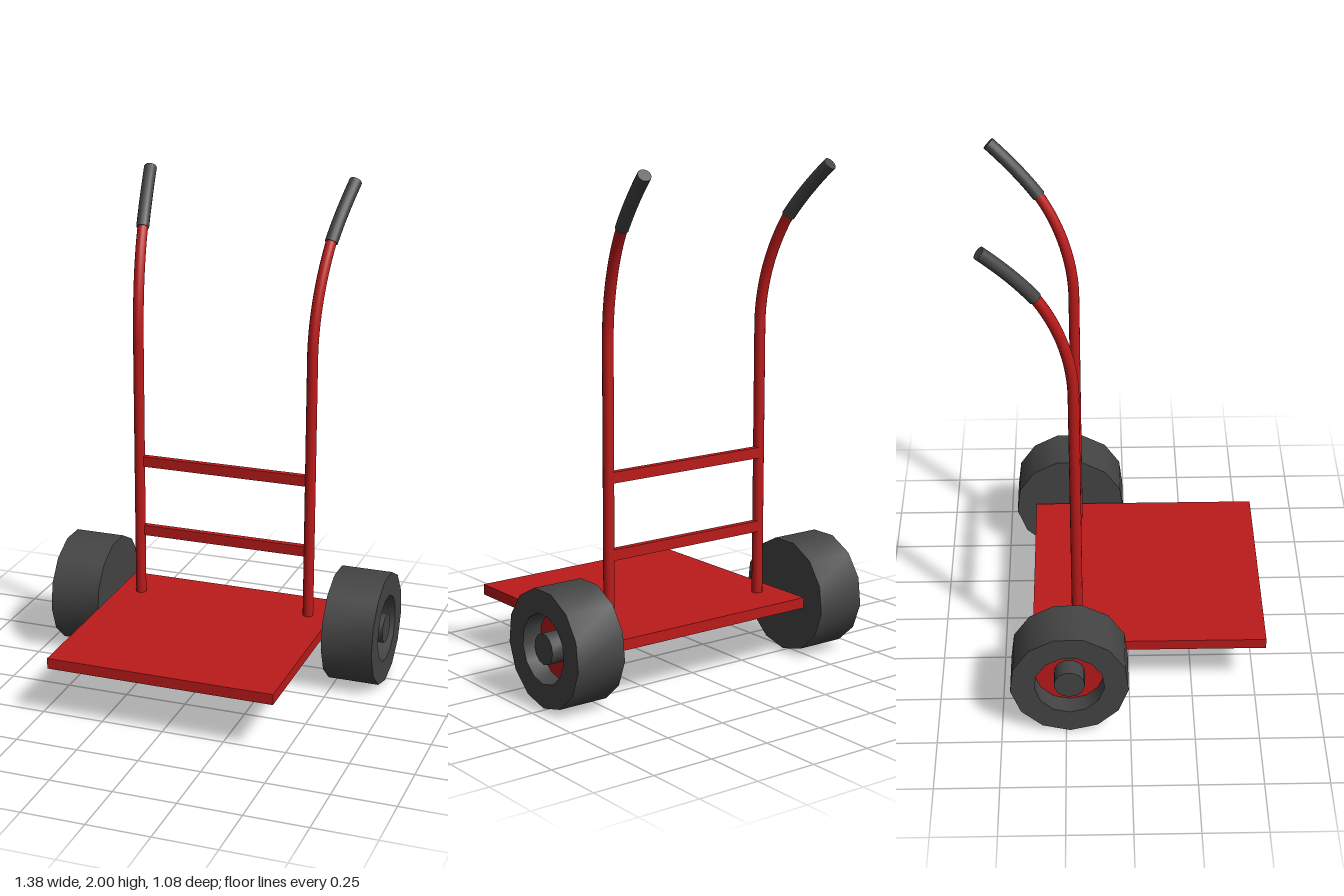
import * as THREE from 'three';
import { toCreasedNormals } from 'three/addons/utils/BufferGeometryUtils.js';

const red = new THREE.MeshStandardMaterial({ color: 0xbb1a1a });
const dark = new THREE.MeshStandardMaterial({ color: 0x444444 });

function add(parent, name, geometry, material, x = 0, y = 0, z = 0) {
  const mesh = new THREE.Mesh(geometry, material);
  mesh.name = name;
  mesh.position.set(x, y, z);
  parent.add(mesh);
  return mesh;
}

// Round bar along a curve, with a flat cap at each end
function addBar(parent, name, curve, segments, radius, material) {
  const bar = new THREE.Group();
  bar.name = name;
  parent.add(bar);
  add(bar, name + 'Tube', new THREE.TubeGeometry(curve, segments, radius, 14), material);
  for (const t of [0, 1]) {
    const p = curve.getPointAt(t);
    const out = curve.getTangentAt(t).multiplyScalar(t ? 1 : -1);
    const cap = add(bar, name + 'Cap', new THREE.CircleGeometry(radius, 14), material, p.x, p.y, p.z);
    cap.quaternion.setFromUnitVectors(new THREE.Vector3(0, 0, 1), out);
  }
}

// Thirteen-sided turned part with crisp edges, axis along +x, one corner pointing down
function turned(points) {
  const geometry = new THREE.LatheGeometry(points.map(([r, h]) => new THREE.Vector2(r, h)), 13);
  geometry.applyMatrix4(new THREE.Matrix4().makeBasis(
    new THREE.Vector3(0, 0, -1), new THREE.Vector3(1, 0, 0), new THREE.Vector3(0, -1, 0)));
  return toCreasedNormals(geometry, 0.6);
}

// Wheel with closed inner face, recessed rim and hub on the outer face
function createWheel(side) {
  const wheel = new THREE.Group();
  wheel.name = side > 0 ? 'leftWheel' : 'rightWheel';
  add(wheel, 'tire', turned([[0, 0], [0.23, 0], [0.23, 0.208], [0.136, 0.208], [0.136, 0.12]]), dark);
  add(wheel, 'rim', turned([[0.136, 0.13], [0, 0.13]]), red);
  add(wheel, 'hub', turned([[0.06, 0.125], [0.06, 0.206], [0, 0.206]]), dark);
  wheel.position.set(side * 0.48, 0.23, -0.235);
  if (side < 0) wheel.rotation.y = Math.PI;
  return wheel;
}

export function createModel() {
  const model = new THREE.Group();
  model.name = 'handTruck';

  add(model, 'loadPlate', new THREE.BoxGeometry(0.92, 0.043, 0.92), red, 0, 0.232, 0.08);

  for (const y of [0.53, 0.83]) {
    add(model, 'crossbar', new THREE.BoxGeometry(0.72, 0.043, 0.026), red, 0, y, -0.209);
  }

  for (const side of [1, -1]) {
    const prefix = side > 0 ? 'left' : 'right';
    const v = (x, y, z) => new THREE.Vector3(side * x, y, z);

    // Straight upright that bends back and outward at the top
    const upright = new THREE.CurvePath();
    upright.add(new THREE.LineCurve3(v(0.365, 0.24, -0.203), v(0.365, 1.34, -0.203)));
    upright.add(new THREE.CubicBezierCurve3(
      v(0.365, 1.34, -0.203), v(0.365, 1.5, -0.203), v(0.379, 1.66, -0.255), v(0.393, 1.78, -0.335)));
    addBar(model, prefix + 'Upright', upright, 60, 0.0215, red);

    const grip = new THREE.QuadraticBezierCurve3(
      v(0.393, 1.775, -0.332), v(0.408, 1.875, -0.405), v(0.432, 1.981, -0.521));
    addBar(model, prefix + 'Grip', grip, 10, 0.026, dark);

    model.add(createWheel(side));
  }
  return model;
}
